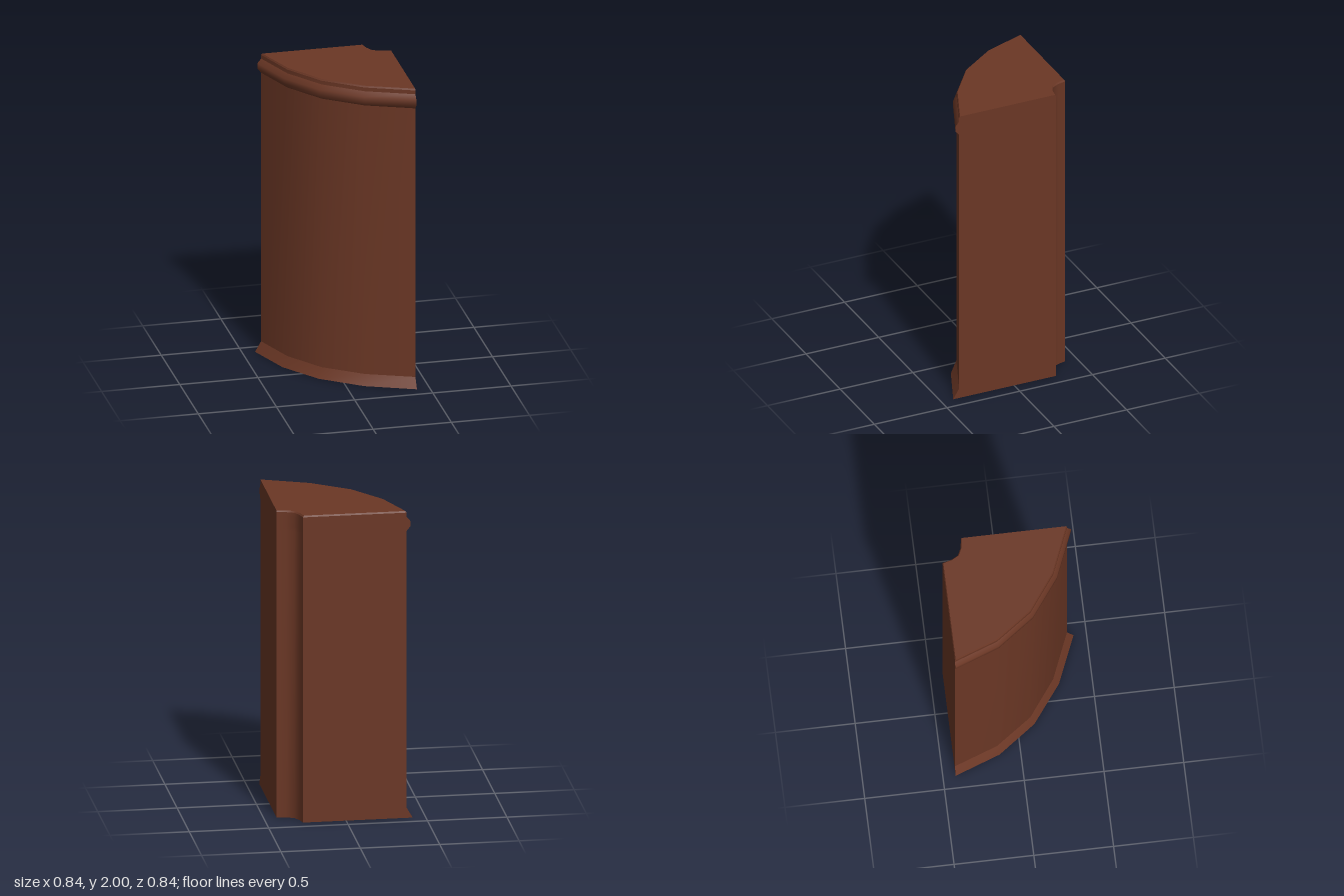
import * as THREE from 'three';

// Plan outlines as [x, z]: wall face and the wider foot
const wall = [[-0.38, -0.42], [-0.278, -0.144], [-0.113, 0.085], [0.121, 0.256], [0.418, 0.378]];
const foot = [[-0.419, -0.42], [-0.312, -0.132], [-0.137, 0.107], [0.11, 0.291], [0.418, 0.419]];
const notch = [[0.418, -0.287], [0.357, -0.296], [0.309, -0.32], [0.285, -0.365], [0.271, -0.42]];
const BEVEL = 0.005;

// Height levels: [y, spread towards the foot outline, bevel of the inner edge]
const levels = [
  [0, 1, 0], [0.067, 0, 0], [1.87, 0, 0], [1.9, 0.62, 0], [1.935, 0.62, 0],
  [1.965, 0, 0], [1.99, 0, 0], [2, -0.15, 1],
];

// Points of each stretch of the outline at one level, running round the block
function sections([y, t, b]) {
  const d = b * BEVEL;
  const outer = wall.map(([x, z], i) => [
    x + (foot[i][0] - x) * t, y, z + (foot[i][1] - z) * t + (i === 0 ? d : 0),
  ]);
  const inner = notch.map(([x, z], i) => [x - (i === 0 ? 0 : d), y, z + d]);
  return {
    outer,
    side: [outer[4], inner[0]],
    notch: inner,
    back: [inner[4], outer[0]],
  };
}

// Skin between rows of points, smooth within one skin
function loft(rows) {
  const n = rows[0].length;
  const index = [];
  for (let r = 0; r < rows.length - 1; r++) {
    for (let i = 0; i < n - 1; i++) {
      const a = r * n + i, d = a + n;
      index.push(a, a + 1, d + 1, a, d + 1, d);
    }
  }
  const g = new THREE.BufferGeometry();
  g.setAttribute('position', new THREE.Float32BufferAttribute(rows.flat(2), 3));
  g.setIndex(index);
  g.computeVertexNormals();
  return g;
}

// Flat end face following the whole outline
function cap(level, up) {
  const s = sections(level);
  const pts = [...s.outer, ...s.notch].map(([x, , z]) => new THREE.Vector2(x, up ? -z : z));
  const g = new THREE.ShapeGeometry(new THREE.Shape(pts));
  g.rotateX(up ? -Math.PI / 2 : Math.PI / 2);
  return g.translate(0, level[0], 0);
}

export function createModel() {
  const group = new THREE.Group();
  const brown = new THREE.MeshStandardMaterial({ color: 0x6b3725 });
  brown.name = 'reddish brown';

  const add = (name, geometry) => {
    const mesh = new THREE.Mesh(geometry, brown);
    mesh.name = name;
    group.add(mesh);
  };
  const skin = (name, part, from, to) =>
    add(name, loft(levels.slice(from, to + 1).map((l) => sections(l)[part])));

  // Curved front, from foot to top
  skin('flaredFoot', 'outer', 0, 1);
  skin('curvedWall', 'outer', 1, 2);
  skin('roundedBand', 'outer', 2, 5);
  skin('topRim', 'outer', 5, 6);
  skin('topRimBevel', 'outer', 6, 7);

  // Flat ends and the hollow inner corner
  skin('sideFace', 'side', 0, 7);
  skin('backFace', 'back', 0, 6);
  skin('backBevel', 'back', 6, 7);
  skin('cornerNotch', 'notch', 0, 6);
  skin('notchBevel', 'notch', 6, 7);

  // Top and bottom
  add('topFace', cap(levels[7], true));
  add('bottomFace', cap(levels[0], false));
  return group;
}
